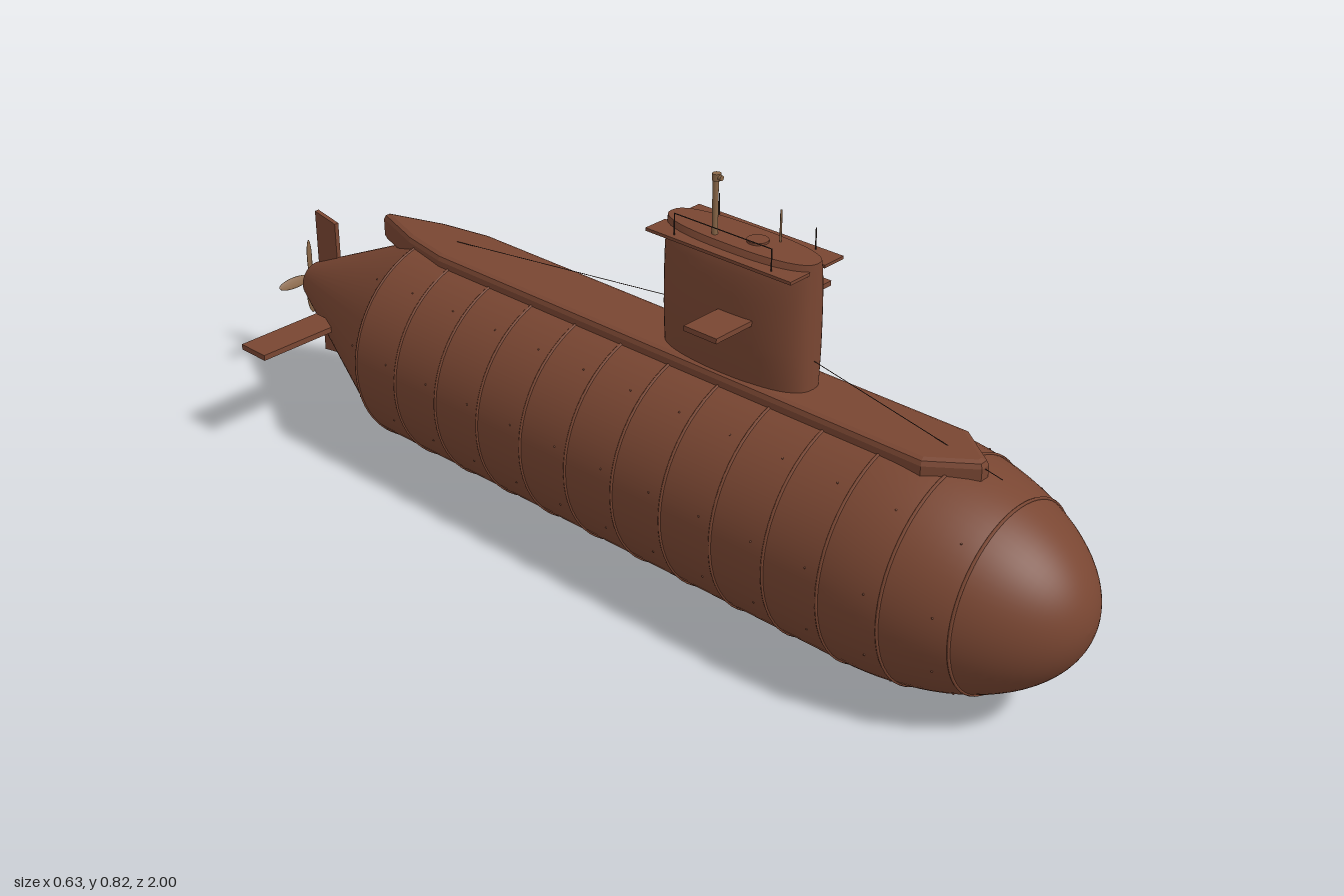
import * as THREE from 'three';
import { mergeGeometries } from 'three/addons/utils/BufferGeometryUtils.js';

const AXIS_Y = 0.225, R = 0.222;       // hull centre line and radius
const NOSE_Z = 0.61, TIP_Z = 0.997;    // start and tip of the rounded nose
const TAIL_Z = -0.57, END_Z = -0.965, END_R = 0.042;

// Hull radius at a given z
function hullRadius(z) {
  if (z > NOSE_Z) return R * Math.sqrt(1 - ((z - NOSE_Z) / (TIP_Z - NOSE_Z)) ** 2);
  if (z < TAIL_Z) return THREE.MathUtils.lerp(R, END_R, (TAIL_Z - z) / (TAIL_Z - END_Z));
  return R;
}

export function createModel() {
  const group = new THREE.Group();
  const mat = (name, color) => {
    const m = new THREE.MeshStandardMaterial({ color });
    m.name = name;
    return m;
  };
  const hullPaint = mat('rust brown', 0x794632);
  const bronze = mat('bronze', 0x8a6748);
  const iron = mat('dark iron', 0x3a2a24);

  const add = (name, geo, material, x = 0, y = 0, z = 0) => {
    const mesh = new THREE.Mesh(geo, material);
    mesh.name = name;
    mesh.position.set(x, y, z);
    group.add(mesh);
    return mesh;
  };
  const box = (name, material, w, h, d, x, y, z) =>
    add(name, new THREE.BoxGeometry(w, h, d), material, x, y, z);
  const rod = (name, material, from, to, r) => {
    const path = new THREE.LineCurve3(new THREE.Vector3(...from), new THREE.Vector3(...to));
    return add(name, new THREE.TubeGeometry(path, 1, r, 8), material);
  };

  // Pressure hull: cylinder running into an elliptical nose
  const profile = [new THREE.Vector2(R, TAIL_Z)];
  for (let i = 0; i <= 24; i++) {
    const a = (i / 24) * Math.PI / 2;
    profile.push(new THREE.Vector2(R * Math.cos(a), NOSE_Z + (TIP_Z - NOSE_Z) * Math.sin(a)));
  }
  add('hull', new THREE.LatheGeometry(profile, 64).rotateX(Math.PI / 2), hullPaint, 0, AXIS_Y);

  // Tail cone
  const tail = new THREE.CylinderGeometry(R, END_R, TAIL_Z - END_Z, 64).rotateX(Math.PI / 2);
  add('tailCone', tail, hullPaint, 0, AXIS_Y, (TAIL_Z + END_Z) / 2);

  // Raised plate seams and rivets
  const rivets = [];
  for (let i = 0; i < 13; i++) {
    const z = 0.845 - i * 0.118;
    add('hullSeam', new THREE.TorusGeometry(hullRadius(z), 0.003, 6, 64), hullPaint, 0, AXIS_Y, z);
    const rz = z - 0.03, rr = hullRadius(rz);
    for (const a of [0.2, 0.9, -0.4, -1.0]) {
      for (const s of [-1, 1]) {
        rivets.push(new THREE.SphereGeometry(0.002, 6, 4).translate(s * Math.cos(a) * rr, Math.sin(a) * rr, rz));
      }
    }
  }
  add('rivets', mergeGeometries(rivets), hullPaint, 0, AXIS_Y);

  // Deck casing with pointed ends and a bevelled top edge
  const b = 0.012;
  const deckShape = new THREE.Shape([
    [-0.01, 0.775], [-0.07, 0.695], [-0.07, -0.48], [-0.05, -0.59], [-0.008, -0.715],
    [0.008, -0.715], [0.05, -0.59], [0.07, -0.48], [0.07, 0.695], [0.01, 0.775],
  ].map(([x, z]) => new THREE.Vector2(x, z)));
  const deck = new THREE.ExtrudeGeometry(deckShape, {
    depth: 0.036, bevelThickness: b, bevelSize: b, bevelOffset: -b, bevelSegments: 2,
  }).rotateX(Math.PI / 2);
  add('deckCasing', deck, hullPaint, 0, 0.46 - b);

  // Sail: oval tower whose width follows a height profile
  const widths = [0.06, 0.063, 0.065, 0.067, 0.068, 0.068, 0.068, 0.067, 0.066, 0.064, 0.061, 0.056, 0.045];
  const sail = new THREE.CylinderGeometry(1, 1, 1, 48, widths.length - 1);
  const p = sail.attributes.position;
  const power = (v, e) => Math.sign(v) * Math.abs(v) ** e;
  for (let i = 0; i < p.count; i++) {
    const row = p.getY(i) + 0.5;
    const w = widths[Math.round(row * (widths.length - 1))];
    p.setXYZ(i, power(p.getX(i), 0.8) * w, 0.452 + row * 0.25, 0.247 + power(p.getZ(i), 0.8) * 0.167);
  }
  sail.computeVertexNormals();
  add('sail', sail, hullPaint);

  // Hatch on the sail top
  add('sailHatch', new THREE.CylinderGeometry(0.02, 0.02, 0.008, 24), hullPaint, 0, 0.702, 0.28);

  // Paired platforms, planes and rail posts
  for (const s of [-1, 1]) {
    box('bridgePlatform', hullPaint, 0.052, 0.006, 0.33, s * 0.046, 0.688, 0.247);
    box('sailPlane', hullPaint, 0.1, 0.01, 0.074, s * 0.107, 0.581, 0.287);
    box('sternPlane', hullPaint, 0.195, 0.012, 0.074, s * 0.2175, AXIS_Y + 0.002, -0.786);
    rod('railPost', iron, [s * 0.06, 0.688, 0.36], [s * 0.06, 0.733, 0.36], 0.0012);
    rod('railPost', iron, [s * 0.06, 0.688, 0.14], [s * 0.06, 0.733, 0.14], 0.0012);
  }
  rod('handRail', iron, [-0.06, 0.732, 0.36], [-0.06, 0.732, 0.14], 0.001);

  // Upright rudder above and below the tail
  const rudderShape = new THREE.Shape([
    [-0.95, 0.06], [-0.885, 0.07], [-0.885, 0.383], [-0.95, 0.395],
  ].map(([z, y]) => new THREE.Vector2(z, y)));
  const rudder = new THREE.ExtrudeGeometry(rudderShape, { depth: 0.01, bevelEnabled: false });
  add('rudder', rudder.rotateY(-Math.PI / 2), hullPaint, 0.005);

  // Propeller with slim pitched blades
  add('propellerHub', new THREE.CylinderGeometry(0.016, 0.008, 0.037, 20).rotateX(Math.PI / 2),
    bronze, 0, AXIS_Y, -0.982);
  for (let i = 0; i < 4; i++) {
    const blade = new THREE.SphereGeometry(1, 16, 10).scale(0.012, 0.042, 0.002);
    blade.rotateY(0.45).translate(0, 0.046, 0).rotateZ(i * Math.PI / 2);
    add('propellerBlade', blade, bronze, 0, AXIS_Y, -0.989);
  }

  // Periscope and whip antenna
  rod('periscope', bronze, [-0.027, 0.69, 0.205], [-0.027, 0.81, 0.205], 0.0055);
  add('periscopeHead', new THREE.CylinderGeometry(0.008, 0.008, 0.013, 16), bronze, -0.027, 0.81, 0.207);
  add('periscopeLens', new THREE.CylinderGeometry(0.005, 0.005, 0.012, 16).rotateX(Math.PI / 2),
    bronze, -0.027, 0.81, 0.213);
  rod('antenna', bronze, [0.025, 0.69, 0.31], [0.025, 0.763, 0.31], 0.002);

  // Stay wires from the sail to the deck ends
  rod('forwardWire', iron, [0, 0.515, 0.414], [0, 0.438, 0.81], 0.0007);
  rod('aftWire', iron, [0, 0.53, 0.08], [0, 0.46, -0.5], 0.0007);

  return group;
}
